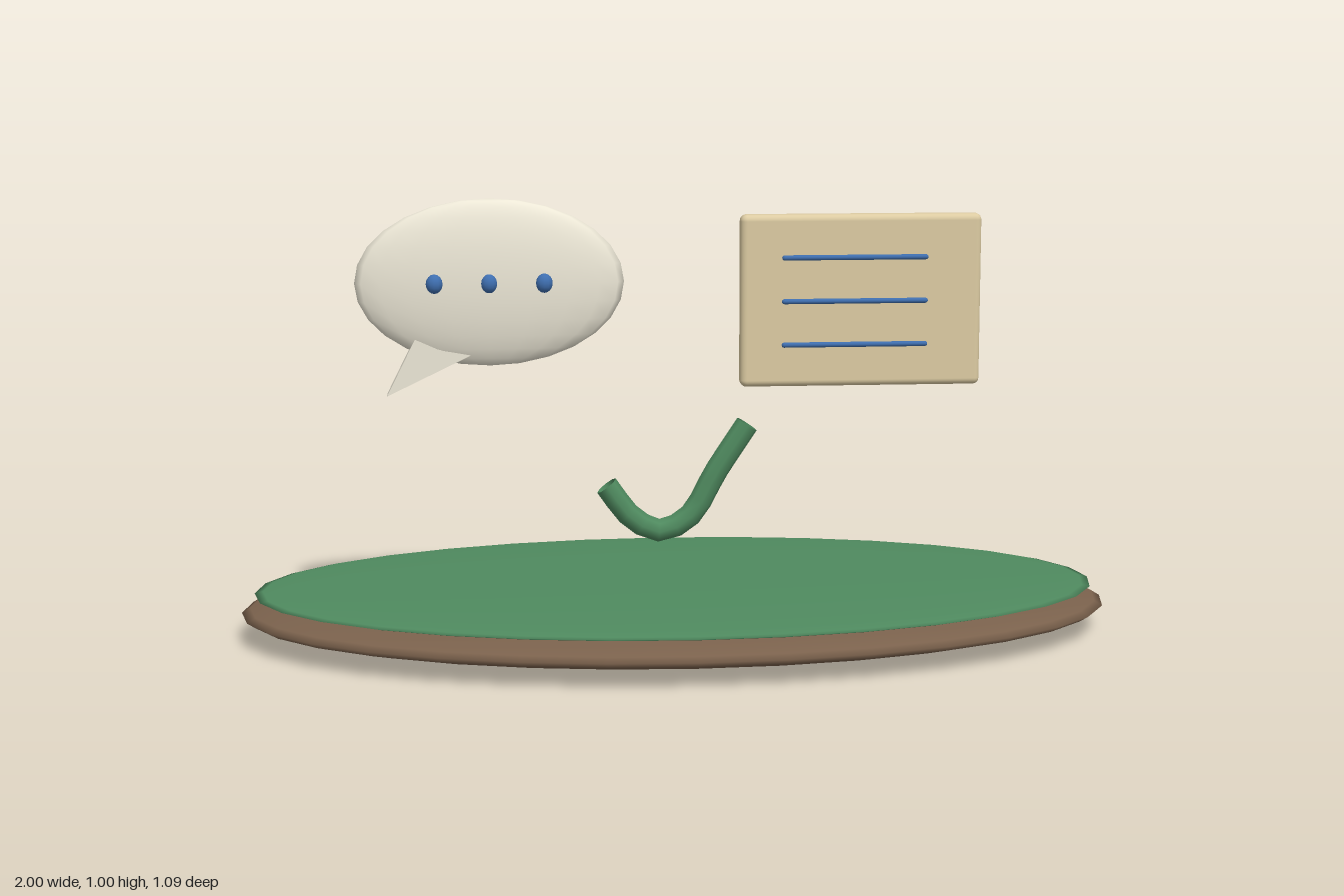
import * as THREE from 'three';
import { RoundedBoxGeometry } from 'three/addons/geometries/RoundedBoxGeometry.js';

const material = (color, side = THREE.FrontSide) => new THREE.MeshStandardMaterial({ color, side });

export function createModel() {
  const model = new THREE.Group();
  const brown = material(0x7a614c);
  const green = material(0x4f8a5f);
  const greenOpen = material(0x4f8a5f, THREE.DoubleSide);
  const cream = material(0xece7d6);
  const tan = material(0xdccba2);
  const blue = material(0x3f6fb0);

  function add(name, geometry, mat, x = 0, y = 0, z = 0) {
    const mesh = new THREE.Mesh(geometry, mat);
    mesh.name = name;
    mesh.position.set(x, y, z);
    model.add(mesh);
    return mesh;
  }
  const ellipsoid = (rx, ry, rz, w, h) => new THREE.SphereGeometry(1, w, h).scale(rx, ry, rz);

  // Flattened oval base with a thin green top
  add('base', ellipsoid(1, 0.06, 0.545, 32, 16), brown, 0, 0.06, 0);
  add('baseTop', ellipsoid(0.97, 0.02, 0.52, 32, 16), green, 0, 0.105, 0);

  // Floating curved check mark
  const path = new THREE.CatmullRomCurve3([
    [-0.162, 0.342], [-0.105, 0.268], [-0.04, 0.235], [0.03, 0.268], [0.09, 0.37], [0.163, 0.481],
  ].map(([x, y]) => new THREE.Vector3(x, y, 0)));
  add('checkMark', new THREE.TubeGeometry(path, 12, 0.027, 8), greenOpen);

  // Speech bubble with a flat wedge tail
  add('bubble', ellipsoid(0.305, 0.19, 0.048, 20, 14), cream, -0.425, 0.815, 0);
  const tail = new THREE.Shape([
    new THREE.Vector2(-0.66, 0.56), new THREE.Vector2(-0.41, 0.68), new THREE.Vector2(-0.575, 0.73),
  ]);
  add('bubbleTail', new THREE.ExtrudeGeometry(tail, { depth: 0.046, bevelEnabled: false }), cream, 0, 0, -0.023);

  // Three dots on the bubble
  for (const x of [-0.55, -0.427, -0.303]) {
    add('bubbleDot', ellipsoid(0.019, 0.022, 0.018, 12, 8), blue, x, 0.817, 0.044);
  }

  // Note card with three raised lines
  add('card', new RoundedBoxGeometry(0.555, 0.395, 0.046, 3, 0.015), tan, 0.4225, 0.767, 0);
  for (const y of [0.867, 0.767, 0.667]) {
    add('cardLine', new THREE.CapsuleGeometry(0.006, 0.325, 3, 8).rotateZ(Math.PI / 2), blue, 0.407, y, 0.027);
  }

  return model;
}
